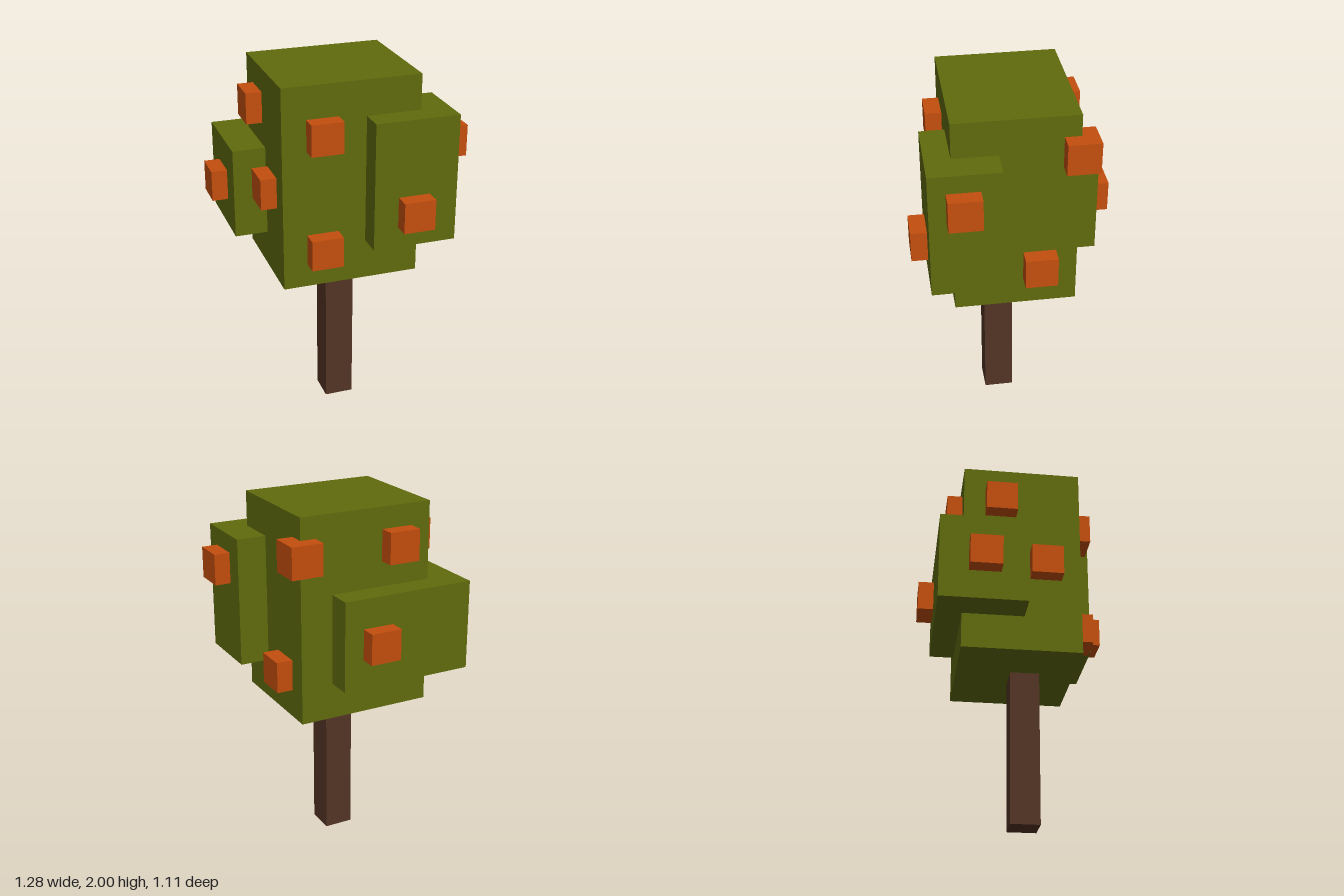
import * as THREE from 'three';

const material = (name, color) => {
  const m = new THREE.MeshStandardMaterial({ color });
  m.name = name;
  return m;
};

export function createModel() {
  const bark = material('bark brown', 0x533424);
  const leaf = material('leaf green', 0x5f6b0c);
  const orange = material('fruit orange', 0xc44e0d);

  const tree = new THREE.Group();
  tree.name = 'fruitTree';

  // Box given by its extents along each axis
  const block = (name, mat, [x0, x1], [y0, y1], [z0, z1]) => {
    const mesh = new THREE.Mesh(new THREE.BoxGeometry(x1 - x0, y1 - y0, z1 - z0), mat);
    mesh.position.set((x0 + x1) / 2, (y0 + y1) / 2, (z0 + z1) / 2);
    mesh.name = name;
    tree.add(mesh);
  };

  block('trunk', bark, [-0.075, 0.087], [0, 0.9], [-0.028, 0.135]);

  // Foliage: main crown and two overlapping clumps
  block('crown', leaf, [-0.374, 0.386], [0.87, 2], [-0.33, 0.33]);
  block('frontClump', leaf, [0.085, 0.55], [1.095, 1.805], [0.088, 0.465]);
  block('backClump', leaf, [-0.555, 0.205], [1.07, 1.57], [-0.47, 0.013]);

  // Fruit: equal cubes half sunk into the foliage
  const fruitGeometry = new THREE.BoxGeometry(0.175, 0.172, 0.175);
  const fruits = [
    [-0.155, 1.735, 0.33], [-0.155, 1.088, 0.33], // crown front
    [0.307, 1.297, 0.465], [0.55, 1.62, 0.287], // front clump
    [0.388, 1.113, -0.128], [0.388, 1.795, -0.33], // crown left and back corner
    [-0.176, 1.795, -0.33], // crown back
    [-0.374, 1.782, -0.12], [-0.374, 1.39, 0.133], // crown right
    [0.008, 1.32, -0.47], [-0.555, 1.32, -0.222], // back clump
  ];
  fruits.forEach((p, i) => {
    const fruit = new THREE.Mesh(fruitGeometry, orange);
    fruit.position.set(...p);
    fruit.name = `fruit${i + 1}`;
    tree.add(fruit);
  });

  return tree;
}
